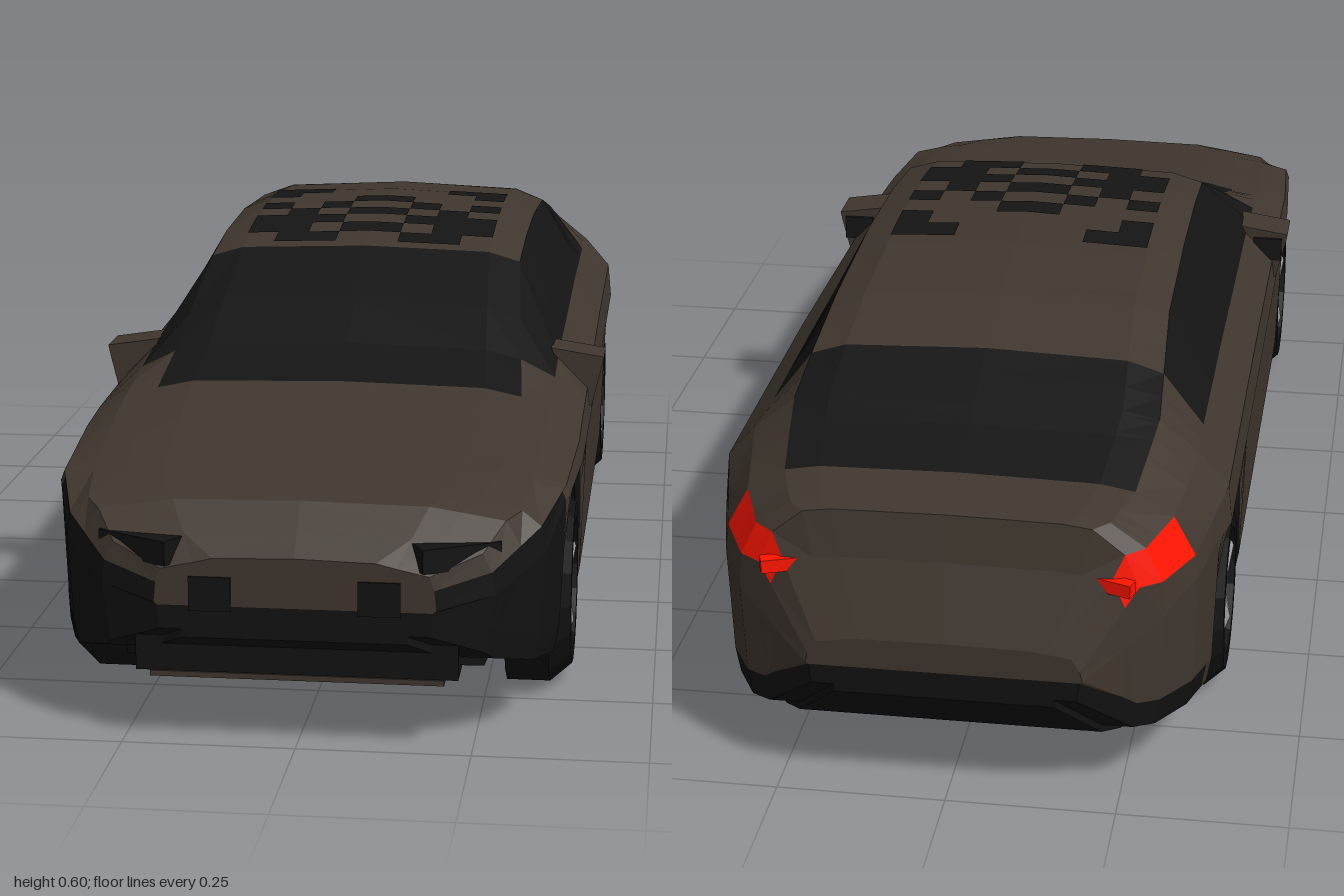
import * as THREE from 'three';

const mat = (color) => new THREE.MeshStandardMaterial({ color, flatShading: true });
const MATS = {
  paint: mat(0x40372f), glass: mat(0x151515), trim: mat(0x121212),
  light: mat(0xff1500), rim: mat(0xaaaaaa),
};
const WHEELS = [0.64, -0.58];
const ARCH_R = 0.172, ARCH_Y = 0.15;

// Body curves along the car: [z, value], front to back
const CURVES = {
  width: [[1, .2], [.97, .28], [.9, .345], [.8, .375], [.6, .385], [-.7, .385], [-.85, .35], [-.93, .31], [-1, .2]],
  floor: [[1, .16], [.96, .12], [.9, .1], [.75, .075], [.5, .068], [-.7, .07], [-.85, .09], [-.95, .105], [-1, .17]],
  mid: [[1, .21], [.9, .27], [.81, .33], [-.78, .33], [-.92, .3], [-1, .215]],
  shoulder: [[1, .24], [.9, .31], [.8, .345], [.5, .37], [-.2, .39], [-.7, .39], [-.85, .35], [-.95, .345], [-1, .23]],
  beltX: [[1, .95], [.8, .86], [-.6, .86], [-.9, .9], [-1, .92]],
  belt: [[1, .26], [.93, .325], [.8, .357], [.5, .4], [.3, .425], [-.3, .44], [-.7, .44], [-.85, .41], [-.95, .395], [-.962, .36], [-1, .25]],
  edgeX: [[1, .72], [.5, .74], [.15, .67], [-.45, .68], [-.75, .72], [-1, .75]],
  edge: [[1, .27], [.93, .335], [.8, .365], [.5, .407], [.4, .44], [.15, .55], [0, .567], [-.2, .572], [-.45, .557], [-.6, .52], [-.75, .475], [-.85, .445], [-.95, .432], [-.962, .365], [-1, .255]],
  top: [[1, .28], [.93, .345], [.8, .37], [.52, .42], [.4, .46], [.3, .51], [.15, .572], [0, .592], [-.15, .6], [-.3, .597], [-.48, .582], [-.6, .545], [-.75, .488], [-.85, .458], [-.95, .44], [-.962, .37], [-1, .26]],
};

function at(name, z) {
  const c = CURVES[name];
  for (let i = 1; i < c.length; i++) {
    if (z >= c[i][0]) {
      const t = (z - c[i - 1][0]) / (c[i][0] - c[i - 1][0]);
      return c[i - 1][1] + t * (c[i][1] - c[i - 1][1]);
    }
  }
  return c[c.length - 1][1];
}

// Height of the lower body edge, raised over each wheel
function archHeight(z) {
  let y = at('floor', z) + 0.012;
  for (const c of WHEELS) {
    const d = Math.abs(z - c);
    if (d < ARCH_R) y = Math.max(y, ARCH_Y + Math.sqrt(ARCH_R ** 2 - d * d));
  }
  return y;
}

// Half cross-section from the floor centre round to the roof centre
function section(z) {
  const w = at('width', z), f = at('floor', z), a = archHeight(z), mid = at('mid', z);
  const edge = at('edge', z), top = at('top', z), ex = w * at('edgeX', z);
  const inner = Math.min(0.26, w * 0.8);
  return [
    [0, f], [inner, f], [inner, a], [w * 0.96, a],
    [w * 0.98, Math.min(a + 0.04, mid - 0.003)], [w, mid], [w * 0.985, at('shoulder', z)],
    [w * at('beltX', z), at('belt', z)], [ex, edge],
    [ex * 0.8, edge + (top - edge) * 0.7], [0, top],
  ].map(([x, y]) => new THREE.Vector3(x, y, z));
}

// Which surface a strip of the body belongs to
function stripKind(j, z) {
  const overWheel = WHEELS.some((c) => Math.abs(z - c) < ARCH_R);
  if (j < 3) return 'trim';
  if (j === 3) return overWheel || z > 0.8 || z < -0.78 || (z < -0.05 && z > -0.42) ? 'trim' : 'paint';
  if (j === 4 || j === 5) return z > 0.84 ? 'trim' : 'paint';
  if (j === 6) return z < -0.85 && z > -0.962 ? 'light' : 'paint';
  if (j === 7) return z < 0.4 && z > -0.6 ? 'glass' : 'paint';
  return (z < 0.51 && z > 0.15) || (z < -0.6 && z > -0.85) ? 'glass' : 'paint';
}

function quad(list, a, b, c, d) {
  for (const p of [a, b, c, a, c, d]) list.push(p.x, p.y, p.z);
}

function facets(name, list, material) {
  const g = new THREE.BufferGeometry();
  g.setAttribute('position', new THREE.Float32BufferAttribute(list, 3));
  g.computeVertexNormals();
  const m = new THREE.Mesh(g, material);
  m.name = name;
  return m;
}

function makeBody() {
  const stations = Object.values(CURVES).flat().map((k) => k[0]);
  for (const c of WHEELS) {
    for (const t of [0.999, 0.93, 0.75, 0.42, 0]) stations.push(c + t * ARCH_R, c - t * ARCH_R);
    stations.push(c + ARCH_R + 0.004, c - ARCH_R - 0.004);
  }
  const zs = stations.sort((a, b) => b - a).filter((z, i, s) => i === 0 || s[i - 1] - z > 0.0005);
  const rings = zs.map(section);
  const flip = (p) => new THREE.Vector3(-p.x, p.y, p.z);
  const lists = { paint: [], glass: [], trim: [], light: [] };
  for (let i = 0; i + 1 < rings.length; i++) {
    for (let j = 0; j < 10; j++) {
      const list = lists[stripKind(j, (zs[i] + zs[i + 1]) / 2)];
      const [a, b, c, d] = [rings[i][j], rings[i][j + 1], rings[i + 1][j + 1], rings[i + 1][j]];
      quad(list, a, d, c, b);
      quad(list, flip(a), flip(b), flip(c), flip(d));
    }
  }
  // Nose and tail faces
  const nose = rings[0], tail = rings[rings.length - 1];
  for (let j = 0; j < 10; j++) {
    const list = j < 4 ? lists.trim : lists.paint;
    quad(list, nose[j], nose[j + 1], flip(nose[j + 1]), flip(nose[j]));
    quad(list, flip(tail[j]), flip(tail[j + 1]), tail[j + 1], tail[j]);
  }
  const body = new THREE.Group();
  body.name = 'body';
  const names = { paint: 'bodyPanels', glass: 'windows', trim: 'lowerTrim', light: 'tailLights' };
  for (const k in lists) body.add(facets(names[k], lists[k], MATS[k]));
  return body;
}

// Dark chequered tiles following the roof
function makeRoofTiles() {
  const rows = ['0011', '0001', '1000', '0101', '1010', '0111', '1011', '0110'];
  const list = [], size = 0.052;
  const point = (x, z) => {
    const s = section(z), k = Math.abs(x) > s[9].x ? 8 : 9;
    const t = (Math.abs(x) - s[k + 1].x) / (s[k].x - s[k + 1].x);
    return new THREE.Vector3(x, s[k + 1].y + t * (s[k].y - s[k + 1].y) + 0.005, z);
  };
  rows.forEach((row, r) => [...row].forEach((on, c) => {
    if (on === '0') return;
    const z0 = -0.28 + r * size, z1 = z0 + size;
    for (const x0 of [c * size, -(c + 1) * size]) {
      const x1 = x0 + size;
      quad(list, point(x0, z0), point(x0, z1), point(x1, z1), point(x1, z0));
    }
  }));
  return facets('roofTiles', list, MATS.glass);
}

function makeWheel() {
  const wheel = new THREE.Group();
  const pts = [[0, .27], [.15, .28], [.15, .345], [.122, .377], [.1, .377], [.09, .362], [0, .362]];
  const tyre = new THREE.Mesh(
    new THREE.LatheGeometry(pts.map((p) => new THREE.Vector2(...p)), 16).rotateZ(-Math.PI / 2), MATS.trim);
  tyre.name = 'tyre';
  tyre.material.side = THREE.DoubleSide;
  wheel.add(tyre);
  for (let i = 0; i < 5; i++) {
    const spoke = new THREE.Mesh(new THREE.CylinderGeometry(0.034, 0.012, 0.085, 4).scale(0.25, 1, 1), MATS.rim);
    spoke.geometry.translate(0.366, 0.056, 0).rotateX((i * Math.PI * 2) / 5);
    spoke.name = 'spoke';
    wheel.add(spoke);
  }
  return wheel;
}

function box(name, w, h, d, x, y, z, material, turn = 0) {
  const m = new THREE.Mesh(new THREE.BoxGeometry(w, h, d), material);
  m.position.set(x, y, z);
  m.rotation.y = turn;
  m.name = name;
  return m;
}

// Parts of the left side, mirrored for the right
function makeSide(name) {
  const side = new THREE.Group();
  side.name = name;
  WHEELS.forEach((z, i) => {
    const wheel = makeWheel();
    wheel.name = i ? 'rearWheel' : 'frontWheel';
    wheel.position.set(0, 0.15, z);
    side.add(wheel);
  });
  const outline = [[.32, .44], [.405, .427], [.402, .412], [.386, .345], [.345, .38]];
  const mirror = new THREE.Mesh(new THREE.ExtrudeGeometry(
    new THREE.Shape(outline.map((p) => new THREE.Vector2(...p))), { depth: 0.075, bevelEnabled: false }), MATS.paint);
  mirror.position.z = 0.235;
  mirror.name = 'wingMirror';
  side.add(mirror);
  side.add(box('mirrorGlass', 0.05, 0.04, 0.01, 0.37, 0.4, 0.234, MATS.glass));
  side.add(box('headlight', 0.12, 0.035, 0.04, 0.225, 0.283, 0.962, MATS.trim, 0.5));
  side.add(box('grilleVent', 0.06, 0.05, 0.01, 0.12, 0.225, 0.998, MATS.trim));
  side.add(box('tailLightBar', 0.08, 0.02, 0.02, 0.23, 0.352, -0.957, MATS.light, 0.35));
  return side;
}

export function createModel() {
  const car = new THREE.Group();
  car.name = 'car';
  car.add(makeBody(), makeRoofTiles());
  const left = makeSide('leftSide'), right = makeSide('rightSide');
  right.scale.x = -1;
  car.add(left, right);
  car.add(box('frontSplitter', 0.42, 0.008, 0.1, 0, 0.1, 0.935, MATS.paint));
  car.add(box('lowerIntake', 0.46, 0.06, 0.06, 0, 0.135, 0.955, MATS.trim));
  return car;
}
